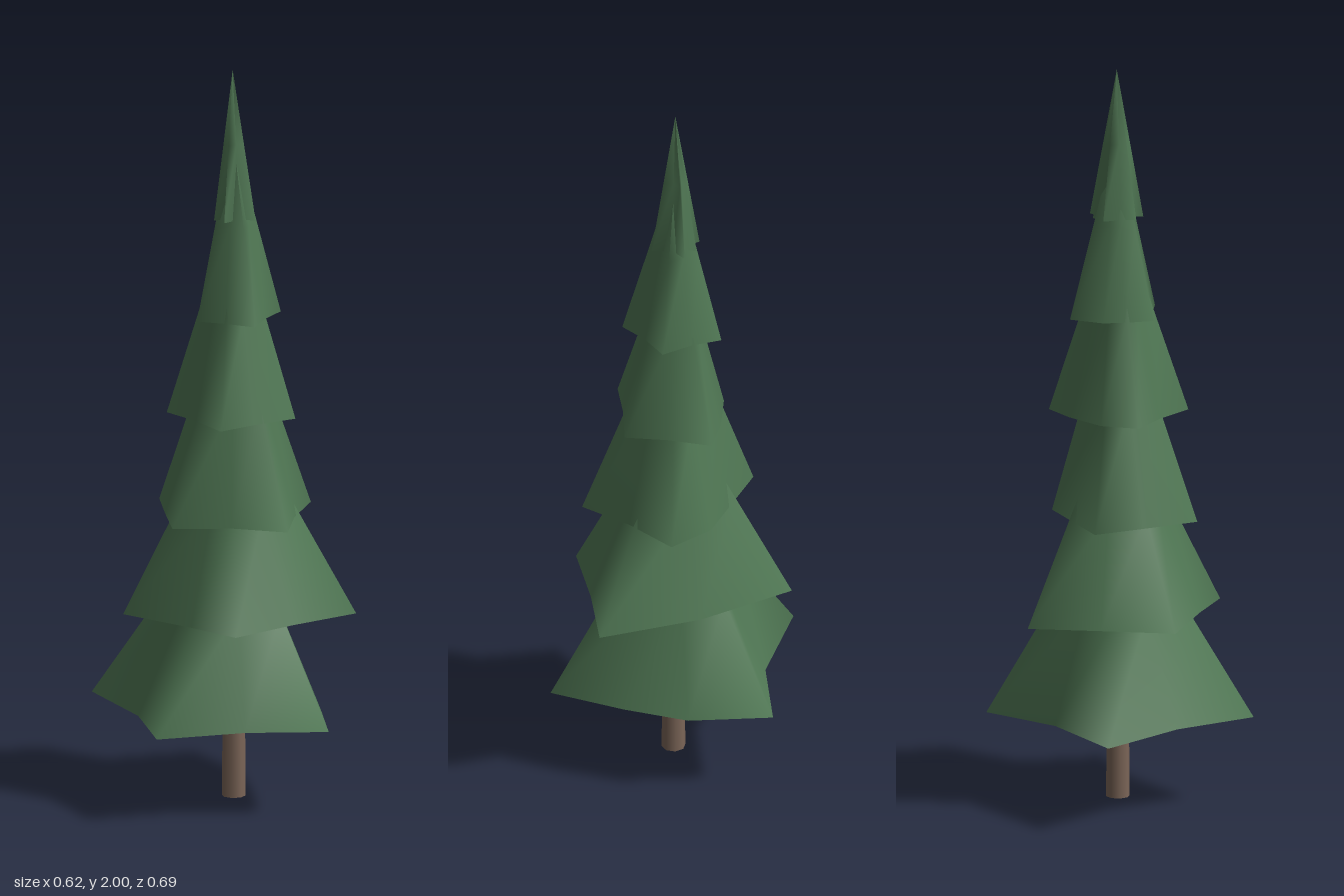
import * as THREE from 'three';

const CX = 0.04; // trunk axis

// Each tier: rim height, apex height, rim outline as [x, z] (tips and valleys, clockwise from above)
const TIERS = [
  { y: 0.24, top: 0.83, rim: [[0.31, -0.22], [0.29, 0.005], [0.21, 0.165], [0.1, 0.345],
    [-0.083, 0.219], [-0.31, 0.13], [-0.21, -0.085], [-0.165, -0.35], [0.08, -0.236]] },
  { y: 0.515, top: 1.1, rim: [[0.225, -0.04], [0.27, 0.24], [0.07, 0.232], [-0.13, 0.24],
    [-0.165, 0.09], [-0.23, -0.125], [-0.05, -0.212], [0.125, -0.3]] },
  { y: 0.78, top: 1.42, rim: [[0.2, -0.07], [0.265, 0.046], [0.14, 0.14], [0.035, 0.25],
    [-0.06, 0.13], [-0.19, 0.04], [-0.11, -0.1], [-0.037, -0.222]] },
  { y: 1.055, top: 1.63, rim: [[0.21, -0.07], [0.165, 0.04], [0.135, 0.151], [0.01, 0.136],
    [-0.1, 0.133], [-0.09, 0.01], [-0.1, -0.105], [0, -0.137], [0.117, -0.11]] },
  { y: 1.325, top: 1.83, rim: [[0.128, -0.03], [0.16, 0.053], [0.08, 0.088], [0.01, 0.138],
    [-0.03, 0.065], [-0.078, 0], [-0.025, -0.058], [0.02, -0.095], [0.115, -0.112]] },
  { y: 1.595, top: 2, rim: [[0.117, -0.013], [0.074, 0.014], [0.065, 0.068], [0.036, 0.036],
    [-0.018, 0.04], [0.006, 0.018], [-0.022, 0], [0.01, -0.024], [0.04, -0.065],
    [0.052, -0.038], [0.083, -0.05], [0.078, -0.026]] },
];

// Surface between rings of equal length; order runs from the lower ring to the upper
function loft(rings, inward) {
  const n = rings[0].length;
  const index = [];
  for (let r = 0; r < rings.length - 1; r++) {
    for (let i = 0; i < n; i++) {
      const a = r * n + i, b = r * n + (i + 1) % n;
      if (inward) index.push(a, b, a + n, b, b + n, a + n);
      else index.push(a, a + n, b, b, a + n, b + n);
    }
  }
  const g = new THREE.BufferGeometry();
  g.setAttribute('position', new THREE.Float32BufferAttribute(rings.flat(2), 3));
  g.setIndex(index);
  g.computeVertexNormals();
  return g;
}

// Rim outline shrunk toward the trunk axis
const shrink = (rim, s, y) => rim.map(([x, z]) => [CX + (x - CX) * s, y, z * s]);

export function createModel() {
  const tree = new THREE.Group();
  tree.name = 'pineTree';
  const needles = new THREE.MeshStandardMaterial({ color: 0x4f7653, side: THREE.DoubleSide });
  needles.name = 'needle green';
  const bark = new THREE.MeshStandardMaterial({ color: 0x7c6658 });
  bark.name = 'bark brown';

  // Trunk
  const trunk = new THREE.Mesh(new THREE.CylinderGeometry(0.022, 0.032, 1.2, 8), bark);
  trunk.position.set(CX, 0.6, 0.005);
  trunk.name = 'trunk';
  tree.add(trunk);

  TIERS.forEach(({ y, top, rim }, k) => {
    const tier = new THREE.Group();
    tier.name = `branchTier${k + 1}`;

    // Outer skirt tapering to a point
    const steps = [1, 0.5, 0.001];
    const skirt = new THREE.Mesh(
      loft(steps.map((s) => shrink(rim, s, top + (y - top) * s))), needles);
    skirt.name = 'skirt';

    // Underside rising to a round opening about the trunk
    const mean = rim.reduce((sum, [x, z]) => sum + Math.hypot(x - CX, z), 0) / rim.length;
    const opening = rim.map(([x, z]) => {
      const a = Math.atan2(z, x - CX), r = mean * 0.42;
      return [CX + Math.cos(a) * r, y + mean * 0.25, Math.sin(a) * r];
    });
    const underside = new THREE.Mesh(loft([shrink(rim, 1, y), opening], true), needles);
    underside.name = 'underside';

    tier.add(skirt, underside);
    tree.add(tier);
  });
  return tree;
}
